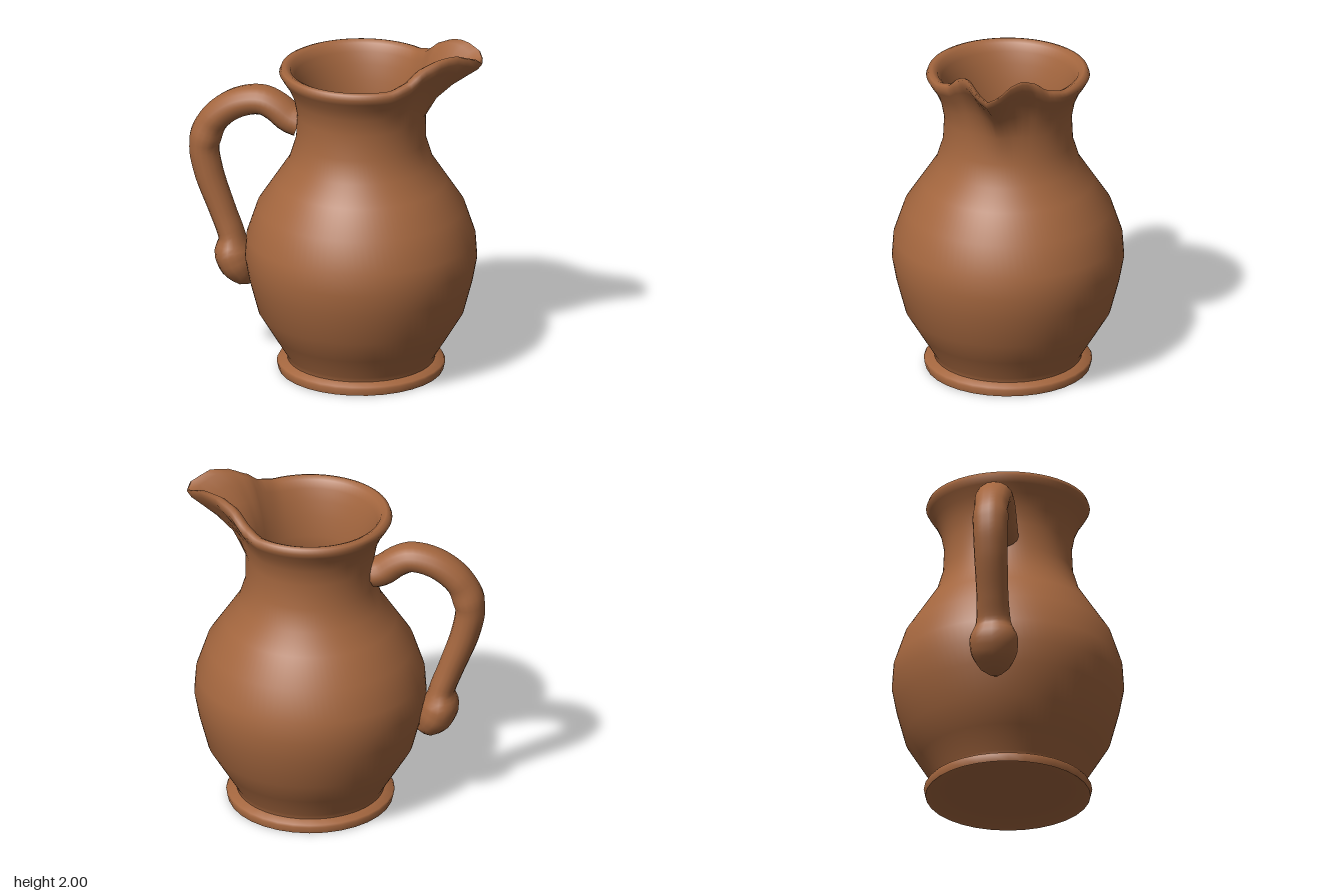
import * as THREE from 'three';
import { mergeVertices, toCreasedNormals } from 'three/addons/utils/BufferGeometryUtils.js';

const AXIS_Z = 0.122; // centre of the pot
const SPOUT = THREE.MathUtils.degToRad(63); // spout direction; the handle is opposite

const profile = (pairs) => pairs.map(([r, y]) => new THREE.Vector2(r, y));

// smooth curve through [angle, value] pairs, clamped at the ends
function sample(table, a) {
  for (let i = 1; i < table.length; i++) {
    const [a0, v0] = table[i - 1];
    const [a1, v1] = table[i];
    if (a <= a1) return v0 + (v1 - v0) * THREE.MathUtils.smoothstep(a, a0, a1) * 0.5
      + (v1 - v0) * 0.5 * (a - a0) / (a1 - a0);
  }
  return table[table.length - 1][1];
}

// weld the lathe seam and smooth across it
function weldSmooth(geometry) {
  geometry.deleteAttribute('uv');
  geometry.deleteAttribute('normal');
  const g = mergeVertices(geometry, 1e-4);
  g.computeVertexNormals();
  return g;
}

function bodyGeometry() {
  const g = new THREE.LatheGeometry(profile([
    // outside, bottom to lip
    [0.42, 0.05], [0.425, 0.09], [0.505, 0.22], [0.59, 0.36], [0.64, 0.55], [0.664, 0.68],
    [0.655, 0.81], [0.595, 0.99], [0.49, 1.15], [0.412, 1.27], [0.372, 1.4], [0.365, 1.55],
    [0.384, 1.65], [0.415, 1.72], [0.448, 1.77], [0.468, 1.805], [0.458, 1.832], [0.435, 1.84],
    // inside, lip to bowl-shaped floor
    [0.405, 1.825], [0.382, 1.78], [0.36, 1.71], [0.338, 1.62], [0.323, 1.5], [0.322, 1.4],
    [0.365, 1.25], [0.445, 1.12], [0.55, 0.96], [0.618, 0.7], [0.59, 0.53], [0.52, 0.34],
    [0.41, 0.2], [0.24, 0.125], [0, 0.1],
  ]), 96);
  // pull the rim outwards and upwards around the spout direction
  const reach = [[0, 0.268], [5, 0.255], [11, 0.18], [18, 0.1], [27, 0.03], [40, 0], [180, 0]];
  const lift = [[0, 0.085], [6, 0.13], [12, 0.16], [18, 0.15], [28, 0.1], [40, 0.03], [55, 0], [180, 0]];
  const p = g.attributes.position;
  for (let i = 0; i < p.count; i++) {
    const x = p.getX(i), y = p.getY(i), z = p.getZ(i);
    const w = THREE.MathUtils.clamp((y - 1.51) / 0.33, 0, 1);
    if (w === 0) continue;
    const r = Math.hypot(x, z);
    const turn = Math.atan2(z, x) - SPOUT;
    const d = THREE.MathUtils.radToDeg(Math.abs(Math.atan2(Math.sin(turn), Math.cos(turn))));
    const s = (r + sample(reach, d) * Math.pow(w, 1.7)) / r;
    p.setXYZ(i, x * s, y + sample(lift, d) * w, z * s);
  }
  return weldSmooth(g);
}

function footGeometry() {
  // raised ring, hollowed slightly underneath
  const g = new THREE.LatheGeometry(profile([
    [0, 0.05], [0.3, 0.045], [0.43, 0.03], [0.472, 0], [0.482, 0.04], [0.475, 0.052], [0.41, 0.068],
  ]), 32);
  return toCreasedNormals(weldSmooth(g), 0.9);
}

function handleGeometry() {
  // [distance from axis, height, in-plane radius, sideways radius]
  const stations = [
    [0.355, 1.465, 0.085, 0.1], [0.42, 1.49, 0.088, 0.102], [0.5, 1.55, 0.086, 0.102],
    [0.584, 1.583, 0.085, 0.102], [0.73, 1.55, 0.086, 0.102], [0.864, 1.44, 0.086, 0.1],
    [0.92, 1.29, 0.086, 0.1], [0.898, 1.13, 0.083, 0.097], [0.81, 0.88, 0.075, 0.092],
    [0.76, 0.74, 0.075, 0.1], [0.75, 0.64, 0.108, 0.14], [0.722, 0.57, 0.105, 0.135],
    [0.67, 0.5, 0.07, 0.09], [0.62, 0.47, 0.01, 0.01],
  ];
  const dx = -Math.cos(SPOUT), dz = -Math.sin(SPOUT);
  const side = new THREE.Vector3(-dz, 0, dx);
  const path = new THREE.CatmullRomCurve3(stations.map(([d, y]) => new THREE.Vector3(d * dx, y, d * dz)));
  const sizes = new THREE.CatmullRomCurve3(stations.map(([, , a, b]) => new THREE.Vector3(a, b, 0)));
  const n = 60, sides = 16;
  const g = new THREE.TubeGeometry(path, n, 1, sides);
  const p = g.attributes.position;
  const v = new THREE.Vector3();
  for (let i = 0; i < p.count; i++) {
    const u = Math.floor(i / (sides + 1)) / n;
    const t = path.getUtoTmapping(u);
    const c = path.getPoint(t);
    const size = sizes.getPoint(t);
    v.fromBufferAttribute(p, i).sub(c);
    const across = v.dot(side);
    v.addScaledVector(side, -across).multiplyScalar(size.x).addScaledVector(side, across * size.y).add(c);
    p.setXYZ(i, v.x, v.y, v.z);
  }
  return weldSmooth(g);
}

export function createModel() {
  const clay = new THREE.MeshStandardMaterial({ color: 0xa5673f });
  clay.name = 'terracotta';
  const jug = new THREE.Group();
  jug.name = 'jug';
  const parts = { body: bodyGeometry(), foot: footGeometry(), handle: handleGeometry() };
  for (const [name, geometry] of Object.entries(parts)) {
    const mesh = new THREE.Mesh(geometry, clay);
    mesh.name = name;
    mesh.position.z = AXIS_Z;
    jug.add(mesh);
  }
  return jug;
}
